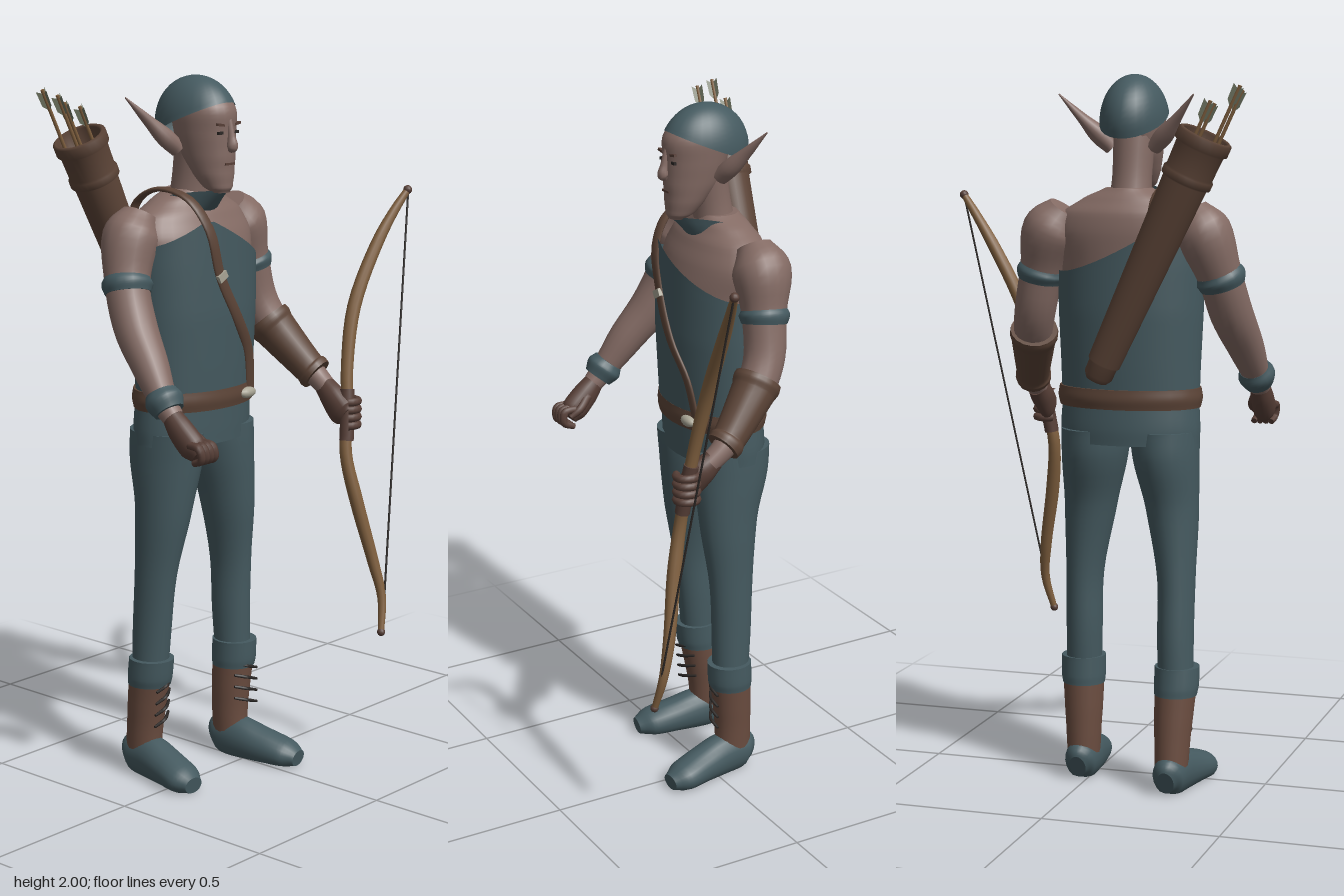
import * as THREE from 'three';

const mat = (name, color, side = THREE.FrontSide) => {
  const m = new THREE.MeshStandardMaterial({ color, side });
  m.name = name;
  return m;
};

export function createModel() {
  const root = new THREE.Group();
  root.name = 'archer';
  const cloth = mat('tealCloth', 0x455a60, THREE.DoubleSide);
  const skin = mat('skin', 0x846b64);
  const leather = mat('leather', 0x5c4437, THREE.DoubleSide);
  const boot = mat('bootLeather', 0x6b4d40);
  const glove = mat('handBrown', 0x573f37);
  const wood = mat('bowWood', 0x80603f);
  const metal = mat('buckleMetal', 0xa9a595);
  const dark = mat('darkCord', 0x2c2826);
  const feather = mat('feather', 0x747a66, THREE.DoubleSide);

  const add = (name, geo, material, parent = root) => {
    const m = new THREE.Mesh(geo, material);
    m.name = name;
    parent.add(m);
    return m;
  };

  // Smooth closed-round surface: rows of rings, f(row, angle) gives a point
  function surface(rows, cols, f) {
    const pos = [], idx = [];
    for (let i = 0; i <= rows; i++)
      for (let j = 0; j < cols; j++) pos.push(...f(i, (j / cols) * Math.PI * 2));
    for (let i = 0; i < rows; i++)
      for (let j = 0; j < cols; j++) {
        const k = (j + 1) % cols, a = i * cols + j, b = a + cols, c = i * cols + k, d = c + cols;
        idx.push(a, b, c, c, b, d);
      }
    const g = new THREE.BufferGeometry();
    g.setAttribute('position', new THREE.Float32BufferAttribute(pos, 3));
    g.setIndex(idx);
    g.computeVertexNormals();
    return g;
  }

  // Capped loft through points [x, y, z, rx, rz]; upright keeps the rings level
  function loft(pts, upright = false, cols = 18, floor = -1) {
    const path = new THREE.CatmullRomCurve3(pts.map(p => new THREE.Vector3(p[0], p[1], p[2])));
    const size = new THREE.CatmullRomCurve3(pts.map(p => new THREE.Vector3(p[3], p[4] ?? p[3], 0)), false, 'catmullrom', 0.4);
    const n = (pts.length - 1) * 5;
    const rings = [];
    for (let i = 0; i <= n; i++) {
      const T = upright ? new THREE.Vector3(0, 1, 0) : path.getTangent(i / n);
      const N = new THREE.Vector3(1, 0, 0).addScaledVector(T, -T.x).normalize();
      rings.push({ c: path.getPoint(i / n), s: size.getPoint(i / n), N, B: N.clone().cross(T) });
    }
    return surface(n + 4, cols, (i, a) => {
      const r = rings[Math.min(Math.max(i - 2, 0), n)];
      const k = i === 0 || i === n + 4 ? 0.001 : 1;
      const p = r.c.clone().addScaledVector(r.N, Math.cos(a) * r.s.x * k).addScaledVector(r.B, Math.sin(a) * r.s.y * k);
      return [p.x, Math.max(p.y, floor), p.z];
    });
  }

  const box = (name, x, y, z, w, h, d, m) => {
    const b = add(name, new THREE.BoxGeometry(w, h, d), m);
    b.position.set(x, y, z);
    return b;
  };
  const ball = (name, x, y, z, r, m) => add(name, new THREE.SphereGeometry(r, 12, 8), m).position.set(x, y, z);

  // Torso, neck and head
  add('torso', loft([
    [-0.12, 1.08, -0.08, 0.185, 0.115], [-0.12, 1.2, -0.078, 0.187, 0.122], [-0.12, 1.35, -0.075, 0.195, 0.128],
    [-0.12, 1.48, -0.078, 0.2, 0.125], [-0.12, 1.56, -0.09, 0.215, 0.115], [-0.12, 1.62, -0.1, 0.19, 0.098],
    [-0.12, 1.66, -0.1, 0.13, 0.075], [-0.12, 1.69, -0.095, 0.065, 0.06]], true, 32), skin);
  add('neck', loft([[-0.122, 1.62, -0.095, 0.062], [-0.124, 1.72, -0.08, 0.055], [-0.125, 1.84, -0.06, 0.06]]), skin);
  add('head', loft([
    [-0.125, 1.685, 0.03, 0.026, 0.022], [-0.125, 1.7, 0.018, 0.04, 0.042], [-0.125, 1.74, 0.0, 0.056, 0.062],
    [-0.125, 1.79, -0.02, 0.067, 0.085], [-0.125, 1.85, -0.03, 0.075, 0.095], [-0.125, 1.91, -0.035, 0.078, 0.1],
    [-0.125, 1.96, -0.05, 0.06, 0.08]], true, 24), skin);
  add('nose', loft([[-0.125, 1.885, 0.06, 0.008], [-0.125, 1.84, 0.068, 0.011], [-0.125, 1.812, 0.072, 0.016], [-0.125, 1.8, 0.064, 0.008]], false, 10), skin);
  box('mouth', -0.125, 1.765, 0.061, 0.036, 0.006, 0.008, glove);

  // Hair cap, lower at the nape than at the forehead
  add('hair', surface(14, 28, (i, a) => {
    const phi = Math.max((1 - i / 14) * (1.5 - 0.42 * Math.sin(a)), 0.001);
    const r = Math.sin(phi);
    return [-0.125 + 0.093 * r * Math.cos(a), 1.87 + 0.13 * Math.cos(phi), -0.06 + 0.132 * r * Math.sin(a)];
  }), cloth);

  for (const s of [-1, 1]) {
    const X = d => -0.125 + s * d;
    const side = s > 0 ? 'left' : 'right';
    add(side + 'Ear', loft([[X(0.06), 1.8, -0.075, 0.022, 0.025], [X(0.095), 1.835, -0.09, 0.026, 0.026],
      [X(0.14), 1.885, -0.115, 0.013, 0.016], [X(0.192), 1.945, -0.145, 0.002]], false, 12), skin);
    box(side + 'Eye', X(0.03), 1.85, 0.056, 0.02, 0.008, 0.008, dark);
    box(side + 'Brow', X(0.03), 1.872, 0.058, 0.032, 0.007, 0.009, glove).rotation.z = s * 0.15;
  }

  // Collar flaring up and forward round the neck
  add('collar', surface(4, 28, (i, a) => {
    const t = i / 4, s = Math.sin(a), f = Math.max(s, 0);
    return [-0.125 + (0.075 + 0.014 * t) * Math.cos(a) * (1 - 0.3 * t * f * f), 1.625 + t * (0.05 + 0.018 * f),
      -0.085 + (0.07 + t * (0.005 + 0.062 * f * f)) * s];
  }), cloth);

  // Vest with a slanting top edge
  const vest = [[1.1, 0.197, 0.128], [1.2, 0.2, 0.134], [1.35, 0.207, 0.141], [1.48, 0.209, 0.14], [1.7, 0.2, 0.14]];
  const vestAt = y => {
    let k = 0;
    while (k < vest.length - 2 && y > vest[k + 1][0]) k++;
    const t = (y - vest[k][0]) / (vest[k + 1][0] - vest[k][0]);
    return [1, 2].map(c => THREE.MathUtils.lerp(vest[k][c], vest[k + 1][c], t));
  };
  add('vest', surface(18, 40, (i, a) => {
    const x = -0.12 + 0.207 * Math.cos(a);
    const top = (x < -0.2 ? 1.62 - (-0.2 - x) * 0.6 : 1.62 - (x + 0.2) * 0.5) - (Math.sin(a) < 0 ? -0.06 * Math.sin(a) : 0);
    const y = 1.1 + (i / 18) * (top - 1.1), [rx, rz] = vestAt(y);
    return [-0.12 + rx * Math.cos(a), y, -0.077 + rz * Math.sin(a)];
  }), cloth);

  // Belt, hem and shoulder strap
  add('belt', loft([[-0.12, 1.085, -0.08, 0.202, 0.132], [-0.12, 1.112, -0.08, 0.207, 0.137], [-0.12, 1.14, -0.08, 0.203, 0.134]], true, 32), leather);
  add('hem', loft([[-0.122, 0.985, -0.085, 0.199, 0.124], [-0.122, 1.03, -0.085, 0.2, 0.126], [-0.122, 1.1, -0.082, 0.196, 0.125]], true, 32), cloth);
  const onVest = (x, y) => {
    const [rx, rz] = vestAt(y);
    return [x, y, -0.073 + rz * Math.sqrt(1 - ((x + 0.12) / rx) ** 2), 0.018, 0.007];
  };
  add('strap', loft([[-0.235, 1.48, -0.215, 0.018, 0.007], [-0.225, 1.64, -0.2, 0.018, 0.007], [-0.225, 1.69, -0.12, 0.018, 0.007],
    [-0.222, 1.672, 0, 0.018, 0.007], onVest(-0.2, 1.59), onVest(-0.165, 1.46), onVest(-0.1, 1.34), onVest(-0.035, 1.235), onVest(-0.012, 1.13)], false, 10), leather);
  const clasp = onVest(-0.165, 1.46);
  box('strapClasp', clasp[0], clasp[1], clasp[2] + 0.006, 0.034, 0.022, 0.012, metal).rotation.z = 0.5;
  add('beltBuckle', new THREE.SphereGeometry(1, 14, 8), metal).position.set(-0.035, 1.113, 0.047);
  root.children.at(-1).scale.set(0.032, 0.016, 0.016);

  // Legs, boots and feet; the right leg stands further back
  for (const s of [-1, 1]) {
    const side = s > 0 ? 'left' : 'right';
    const P = (d, y, z, rx, rz) => [-0.122 + s * d, y, z + (s < 0 ? -0.085 * (1 - y) : 0), rx, rz];
    add(side + 'Leg', loft([P(0.145, 0.3, -0.06, 0.05, 0.053), P(0.142, 0.45, -0.065, 0.051, 0.06), P(0.14, 0.6, -0.065, 0.053, 0.066),
      P(0.122, 0.8, -0.065, 0.074, 0.088), P(0.105, 0.94, -0.082, 0.092, 0.113), P(0.1, 1.02, -0.085, 0.096, 0.118)], true, 24), cloth);
    add(side + 'Boot', loft([P(0.143, 0.06, -0.07, 0.046, 0.055), P(0.143, 0.14, -0.07, 0.05, 0.055),
      P(0.144, 0.22, -0.066, 0.055, 0.058), P(0.146, 0.3, -0.06, 0.059, 0.062)], true, 20), boot);
    add(side + 'BootCuff', loft([P(0.146, 0.275, -0.06, 0.06, 0.063), P(0.147, 0.3, -0.058, 0.063, 0.066), P(0.147, 0.355, -0.056, 0.063, 0.066)], true, 20), cloth);
    add(side + 'Foot', loft([P(0.143, 0.04, -0.128, 0.024, 0.035), P(0.143, 0.05, -0.105, 0.045, 0.058), P(0.146, 0.052, -0.04, 0.052, 0.066),
      P(0.16, 0.04, 0.05, 0.055, 0.054), P(0.175, 0.03, 0.12, 0.054, 0.042), P(0.18, 0.024, 0.163, 0.03, 0.024)], false, 20, 0), cloth);
    for (let k = 0; k < 4; k++) {
      const y = 0.17 + k * 0.035;
      add(side + 'Lace', loft([P(0.105, y + 0.016, -0.018, 0.004), P(0.14, y + 0.006, 0.003, 0.005), P(0.18, y - 0.008, 0.002, 0.004)], false, 6), dark);
    }
  }

  // Arms with cloth bands and a bracer
  add('leftArm', loft([[0.06, 1.63, -0.11, 0.05], [0.1, 1.57, -0.11, 0.083], [0.132, 1.46, -0.1, 0.063], [0.16, 1.34, -0.085, 0.058],
    [0.185, 1.25, -0.035, 0.053], [0.225, 1.13, 0.08, 0.034], [0.226, 1.09, 0.13, 0.029]]), skin);
  add('rightArm', loft([[-0.3, 1.63, -0.11, 0.05], [-0.335, 1.57, -0.11, 0.08], [-0.378, 1.45, -0.085, 0.062], [-0.4, 1.34, -0.035, 0.06],
    [-0.42, 1.25, 0.035, 0.052], [-0.437, 1.15, 0.11, 0.036], [-0.438, 1.12, 0.14, 0.03]]), skin);
  add('leftArmBand', loft([[0.129, 1.468, -0.102, 0.064], [0.134, 1.452, -0.1, 0.071], [0.139, 1.43, -0.097, 0.064]]), cloth);
  add('rightArmBand', loft([[-0.373, 1.465, -0.09, 0.063], [-0.379, 1.447, -0.084, 0.071], [-0.384, 1.425, -0.077, 0.064]]), cloth);
  add('rightWristBand', loft([[-0.433, 1.18, 0.09, 0.044], [-0.436, 1.16, 0.105, 0.053], [-0.438, 1.135, 0.125, 0.042]]), cloth);
  add('bracer', loft([[0.172, 1.285, -0.06, 0.067], [0.176, 1.272, -0.05, 0.069], [0.182, 1.255, -0.036, 0.063],
    [0.218, 1.15, 0.06, 0.048], [0.222, 1.14, 0.072, 0.052], [0.225, 1.13, 0.085, 0.05]]), leather);

  // Hands
  add('leftHand', loft([[0.226, 1.1, 0.115, 0.028, 0.032], [0.222, 1.07, 0.15, 0.032, 0.04], [0.215, 1.035, 0.185, 0.024, 0.042], [0.214, 1.025, 0.2, 0.012, 0.03]]), glove);
  for (let k = 0; k < 4; k++) {
    const f = add('leftFinger', new THREE.TorusGeometry(0.029, 0.012, 8, 14, 4.8), glove);
    f.position.set(0.226, 1.0 + k * 0.023, 0.2);
    f.rotation.set(Math.PI / 2, 0, -2.4);
  }
  add('rightHand', loft([[-0.438, 1.13, 0.13, 0.027], [-0.438, 1.09, 0.165, 0.032, 0.038], [-0.435, 1.05, 0.205, 0.032, 0.04], [-0.432, 1.03, 0.225, 0.02, 0.028]]), glove);
  for (let k = 0; k < 4; k++) {
    const x = -0.458 + k * 0.017;
    add('rightFinger', loft([[x, 1.06, 0.215, 0.011], [x, 1.055, 0.25, 0.012], [x + 0.004, 1.025, 0.255, 0.011], [x + 0.008, 1.01, 0.225, 0.009]], false, 8), glove);
  }
  add('rightThumb', loft([[-0.415, 1.09, 0.17, 0.013], [-0.398, 1.06, 0.205, 0.012], [-0.4, 1.04, 0.235, 0.008]], false, 8), glove);

  // Bow and string
  add('bow', loft([[0.485, 1.65, 0.205, 0.01], [0.44, 1.59, 0.19, 0.014], [0.38, 1.5, 0.176, 0.018], [0.29, 1.33, 0.168, 0.02], [0.242, 1.155, 0.183, 0.018],
    [0.225, 1.03, 0.2, 0.017], [0.207, 0.92, 0.21, 0.018], [0.221, 0.785, 0.238, 0.02], [0.256, 0.6, 0.275, 0.017], [0.267, 0.495, 0.3, 0.013], [0.245, 0.395, 0.317, 0.009]], false, 12), wood);
  add('bowGrip', loft([[0.235, 1.1, 0.19, 0.021], [0.225, 1.03, 0.2, 0.021], [0.213, 0.955, 0.207, 0.021]], false, 12), glove);
  ball('upperNock', 0.485, 1.65, 0.205, 0.013, glove);
  ball('lowerNock', 0.245, 0.397, 0.317, 0.012, glove);
  add('bowString', loft([[0.485, 1.645, 0.207, 0.003], [0.27, 0.5, 0.308, 0.003]], false, 6), dark);

  // Quiver slung across the back, with arrows along its axis
  const quiver = new THREE.Group();
  quiver.name = 'quiver';
  quiver.position.set(-0.07, 1.17, -0.235);
  quiver.quaternion.setFromUnitVectors(new THREE.Vector3(0, 1, 0), new THREE.Vector3(-0.315, 0.67, -0.023).normalize());
  root.add(quiver);
  const profile = [[0, -0.005], [0.03, 0], [0.04, 0.015], [0.041, 0.05], [0.046, 0.055], [0.063, 0.6], [0.071, 0.605], [0.071, 0.625],
    [0.066, 0.63], [0.068, 0.7], [0.076, 0.705], [0.076, 0.735], [0.068, 0.74], [0.06, 0.735], [0.056, 0.62], [0, 0.62]];
  add('quiverCase', new THREE.LatheGeometry(profile.map(p => new THREE.Vector2(...p)), 28), leather, quiver);
  for (const [x, z, top] of [[-0.036, -0.03, 0.9], [-0.036, 0.022, 0.885], [0.02, -0.03, 0.83], [0.02, 0.025, 0.82]]) {
    const arrow = new THREE.Group();
    arrow.name = 'arrow';
    arrow.position.set(x, 0, z);
    quiver.add(arrow);
    add('shaft', new THREE.CylinderGeometry(0.005, 0.005, top - 0.62, 8), wood, arrow).position.y = (top + 0.62) / 2;
    const vane = new THREE.Shape([[0, -0.065], [0.016, -0.045], [0.018, 0], [0, -0.012]].map(p => new THREE.Vector2(...p)));
    for (let k = 0; k < 3; k++) {
      const v = add('fletching', new THREE.ShapeGeometry(vane), feather, arrow);
      v.position.y = top;
      v.rotation.y = (k * Math.PI * 2) / 3 + 0.4;
    }
  }
  return root;
}
